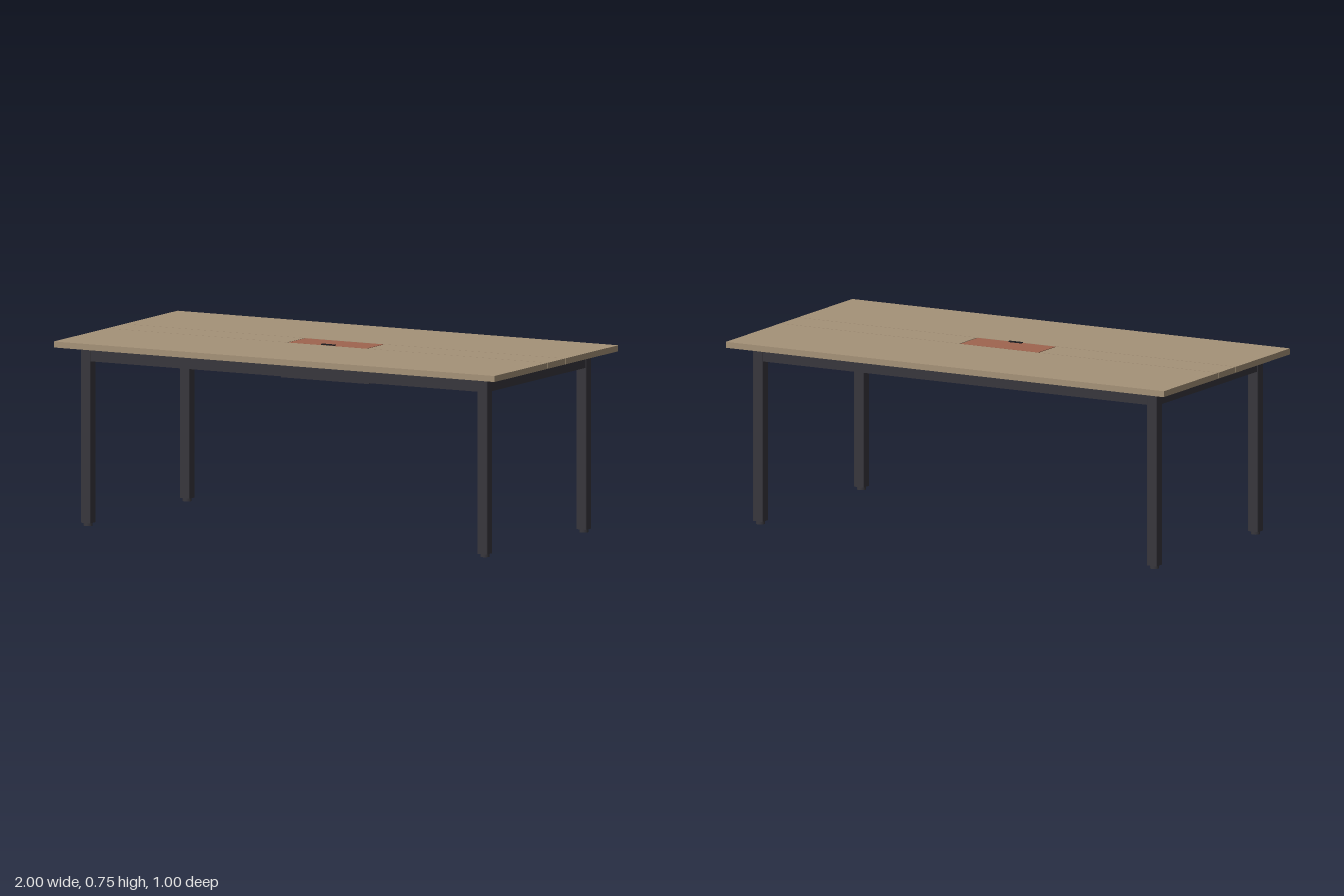
import * as THREE from 'three';

export function createModel() {
  const group = new THREE.Group();
  const material = (name, color) => {
    const m = new THREE.MeshStandardMaterial({ color });
    m.name = name;
    return m;
  };
  const wood = material('wood', 0xa59278);
  const metal = material('dark metal', 0x38373d);
  const red = material('terracotta', 0xa0654f);
  const black = material('black', 0x1c1c20);

  const add = (name, geometry, mat, x, y, z) => {
    const mesh = new THREE.Mesh(geometry, mat);
    mesh.name = name;
    mesh.position.set(x, y, z);
    group.add(mesh);
    return mesh;
  };
  // Box given by its lower and upper corners
  const box = (name, mat, [x0, y0, z0], [x1, y1, z1]) =>
    add(name, new THREE.BoxGeometry(x1 - x0, y1 - y0, z1 - z0), mat,
      (x0 + x1) / 2, (y0 + y1) / 2, (z0 + z1) / 2);

  const under = 0.717, top = 0.741;

  // Table top: two wide boards and a split centre strip, with narrow gaps
  box('frontBoard', wood, [-1, under, 0.072], [1, top, 0.5]);
  box('backBoard', wood, [-1, under, -0.5], [1, top, -0.072]);
  box('leftStrip', wood, [0.182, under, -0.068], [1, top, 0.068]);
  box('rightStrip', wood, [-1, under, -0.068], [-0.182, top, 0.068]);

  // Cable hatch with its pull, over the cable box
  box('hatch', red, [-0.177, under + 0.002, -0.068], [0.177, top, 0.068]);
  box('hatchPull', black, [-0.03, top, 0.054], [0.03, top + 0.004, 0.066]);
  box('cableBox', metal, [-0.2, 0.603, -0.09], [0.2, under, 0.09]);

  // Square legs with softened corners
  const h = 0.0225, r = 0.005;
  const section = new THREE.Shape();
  section.moveTo(-h + r, -h);
  section.lineTo(h - r, -h);
  section.quadraticCurveTo(h, -h, h, -h + r);
  section.lineTo(h, h - r);
  section.quadraticCurveTo(h, h, h - r, h);
  section.lineTo(-h + r, h);
  section.quadraticCurveTo(-h, h, -h, h - r);
  section.lineTo(-h, -h + r);
  section.quadraticCurveTo(-h, -h, -h + r, -h);
  const legGeometry = new THREE.ExtrudeGeometry(section, {
    depth: under - 0.013, bevelEnabled: false, curveSegments: 4,
  }).rotateX(-Math.PI / 2);
  const footGeometry = new THREE.CylinderGeometry(0.018, 0.018, 0.013, 20);
  for (const x of [-0.9, 0.9]) {
    for (const z of [-0.4, 0.4]) {
      add('leg', legGeometry, metal, x, 0.013, z);
      add('foot', footGeometry, metal, x, 0.0065, z);
    }
  }

  // Rails between the legs
  const t = 0.019, low = 0.66, high = under - 0.002;
  for (const s of [-1, 1]) {
    box('longRail', metal, [-0.878, low, s * 0.4 - t], [0.878, high, s * 0.4 + t]);
    box('endRail', metal, [s * 0.9 - t, low, -0.378], [s * 0.9 + t, high, 0.378]);
  }

  return group;
}
